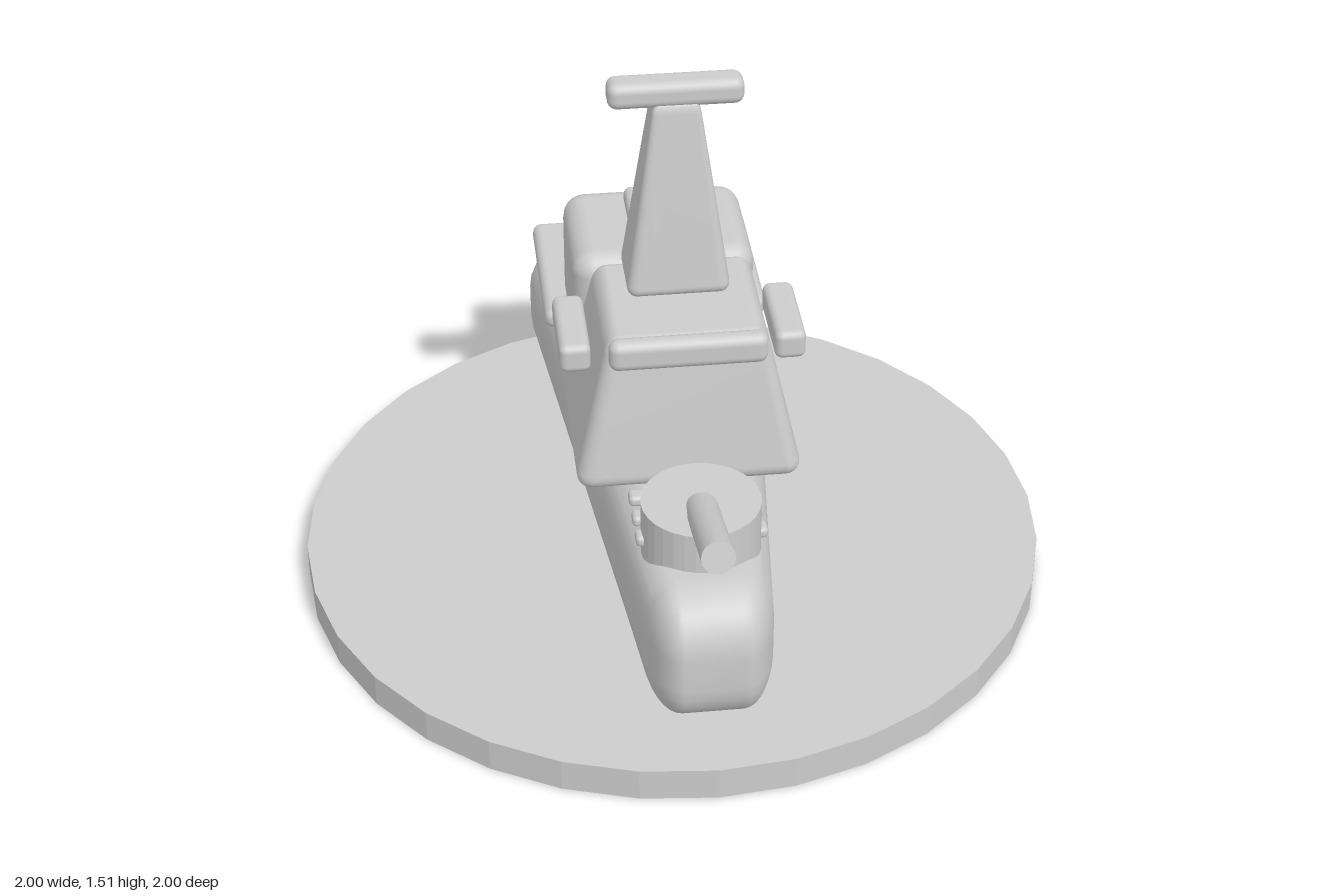
import * as THREE from 'three';
import { mergeVertices } from 'three/addons/utils/BufferGeometryUtils.js';
import { RoundedBoxGeometry } from 'three/addons/geometries/RoundedBoxGeometry.js';

const grey = new THREE.MeshStandardMaterial({ color: 0xcccccc });
grey.name = 'light grey';
const flatGrey = grey;

// Weld a geometry and give it smooth normals after its vertices were moved
function smooth(geo) {
  geo.deleteAttribute('normal');
  geo.deleteAttribute('uv');
  geo.clearGroups();
  const welded = mergeVertices(geo, 1e-4);
  welded.computeVertexNormals();
  return welded;
}

// Facet a geometry
function faceted(geo) {
  const g = geo.toNonIndexed();
  g.computeVertexNormals();
  return g;
}

export function createModel() {
  const model = new THREE.Group();
  model.name = 'toyWarship';

  const add = (name, geo, x = 0, y = 0, z = 0) => {
    const mesh = new THREE.Mesh(geo, flatGrey);
    mesh.name = name;
    mesh.position.set(x, y, z);
    model.add(mesh);
    return mesh;
  };

  // Rounded box given by its ranges on x, y and z
  const box = (name, [x0, x1], [y0, y1], [z0, z1], r) =>
    add(name, new RoundedBoxGeometry(x1 - x0, y1 - y0, z1 - z0, 3, r),
      (x0 + x1) / 2, (y0 + y1) / 2, (z0 + z1) / 2);

  // Rounded box that narrows upwards: half widths and z ranges at bottom and top
  const tapered = (name, [y0, y1], xBottom, xTop, zBottom, zTop, r) => {
    const h = y1 - y0;
    const geo = new RoundedBoxGeometry(2 * xBottom, h, zBottom[1] - zBottom[0], 4, r);
    const p = geo.attributes.position;
    const depth = zBottom[1] - zBottom[0];
    for (let i = 0; i < p.count; i++) {
      const t = p.getY(i) / h + 0.5;
      const za = THREE.MathUtils.lerp(zBottom[0], zTop[0], t);
      const zb = THREE.MathUtils.lerp(zBottom[1], zTop[1], t);
      p.setXYZ(i,
        p.getX(i) * THREE.MathUtils.lerp(1, xTop / xBottom, t),
        p.getY(i) + (y0 + y1) / 2,
        THREE.MathUtils.lerp(za, zb, p.getZ(i) / depth + 0.5));
    }
    return add(name, smooth(geo));
  };

  // Round display base
  add('base', faceted(new THREE.CylinderGeometry(1, 1, 0.09, 32)), 0, 0.045, 0);

  // Hull, narrowing towards the bow
  const hull = new RoundedBoxGeometry(0.6, 0.39, 1.84, 4, 0.15);
  const hp = hull.attributes.position;
  for (let i = 0; i < hp.count; i++) {
    hp.setX(i, hp.getX(i) * (0.245 - 0.106 * hp.getZ(i)) / 0.3);
  }
  add('hull', smooth(hull), 0, 0.325, 0);

  // Flat panel on the left side of the hull
  const panel = add('sidePanel', new THREE.PlaneGeometry(0.32, 0.22), 0.28, 0.37, -0.11);
  panel.rotation.y = Math.PI / 2;

  // Bridge with its front window bar and side wings
  tapered('bridge', [0.51, 0.93], 0.295, 0.2, [-0.105, 0.405], [-0.04, 0.345], 0.045);
  box('bridgeWindow', [-0.2, 0.2], [0.857, 0.94], [0.325, 0.38], 0.025);
  for (const s of [-1, 1]) {
    const xs = s > 0 ? [0.235, 0.315] : [-0.315, -0.235];
    box(s > 0 ? 'leftWing' : 'rightWing', xs, [0.78, 0.86], [0, 0.255], 0.02);
  }

  // Mast and radar bar
  tapered('mast', [0.93, 1.455], 0.135, 0.058, [-0.042, 0.165], [0.02, 0.1], 0.03);
  box('radarBar', [-0.17, 0.17], [1.44, 1.51], [0.02, 0.1], 0.025);

  // Funnel and cap
  tapered('funnel', [0.645, 1.01], 0.12, 0.09, [-0.23, -0.045], [-0.21, -0.06], 0.03);
  box('funnelCap', [-0.105, 0.105], [0.995, 1.045], [-0.22, -0.055], 0.02);

  // Hangar and stern deck
  box('hangar', [-0.245, 0.245], [0.51, 0.85], [-0.55, -0.16], 0.06);
  box('sternDeck', [-0.31, 0.31], [0.493, 0.55], [-0.868, -0.378], 0.025);

  // Gun turret and raised barrel
  add('turret', faceted(new THREE.CylinderGeometry(0.15, 0.15, 0.15, 32)), 0, 0.555, 0.612);
  const barrel = add('barrel', new THREE.CylinderGeometry(0.042, 0.042, 0.33, 16), 0, 0.657, 0.778);
  barrel.rotation.x = Math.PI / 2 - 0.29;

  // Foredeck slats
  for (const z of [0.463, 0.545, 0.625]) {
    box('deckSlat', [-0.165, 0.165], [0.52, 0.55], [z - 0.023, z + 0.023], 0.012);
  }

  return model;
}
